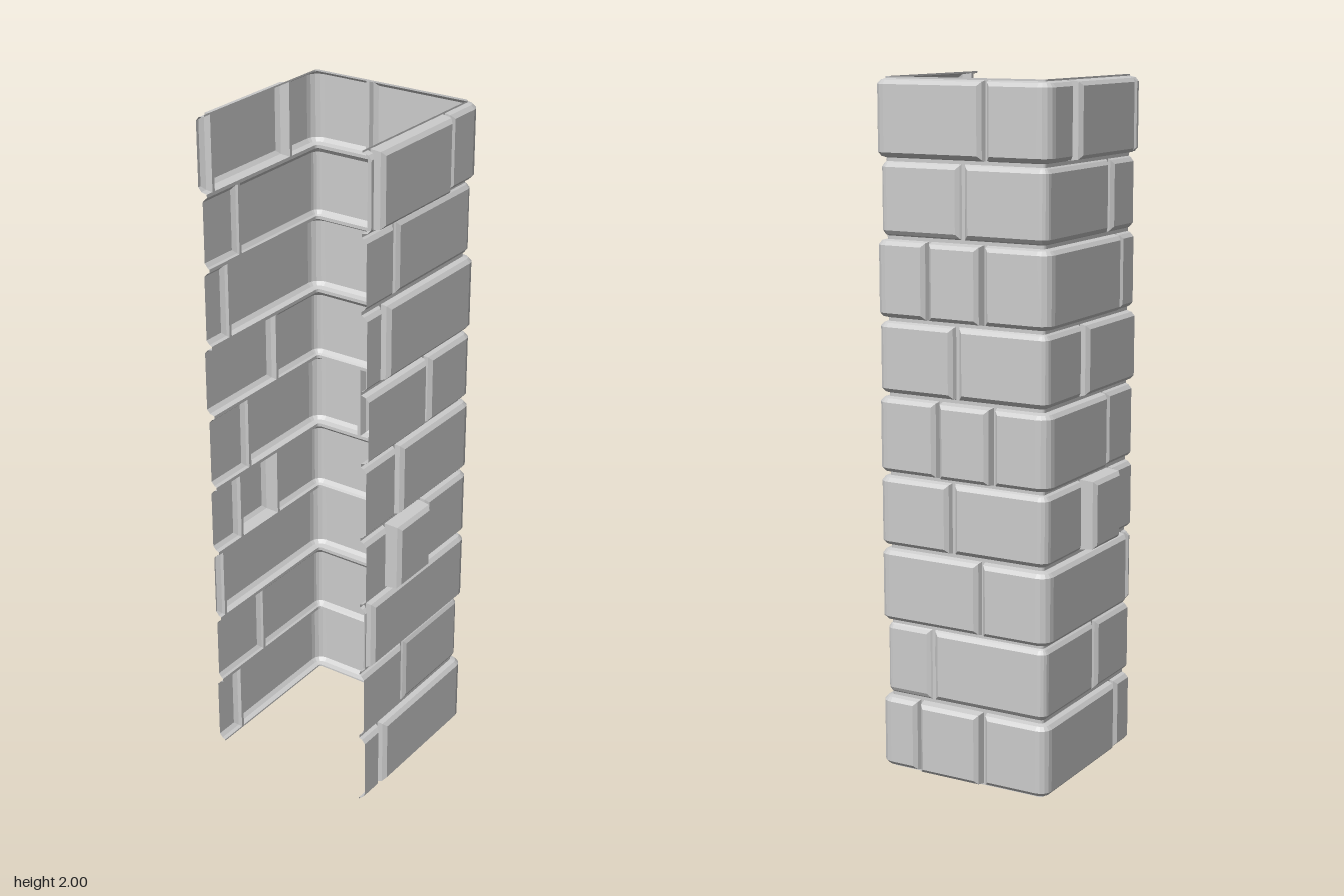
import * as THREE from 'three';

const HALF = 0.25, BACK = -0.235, FRONT = 0.27, R = 0.01; // mortar line of the U-shaped plan
const SIDE = FRONT - BACK - R, ARC = R * Math.PI / 2, REAR = 2 * (HALF - R);
const TOTAL = 2 * SIDE + 2 * ARC + REAR;
const INSET = [0, 0.005, 0.009, 0.02]; // mortar, foot of brick, start of chamfer, face

// Point on the U-shaped plan at arc length u, pushed outward by d
function planPoint(u, d, y) {
  if (u > TOTAL / 2) {
    const p = planPoint(TOTAL - u, d, y);
    p[0] = -p[0];
    return p;
  }
  if (u <= SIDE) return [HALF + d, y, FRONT - u];
  if (u < SIDE + ARC) {
    const a = (u - SIDE) / R;
    return [HALF - R + Math.cos(a) * (R + d), y, BACK + R - Math.sin(a) * (R + d)];
  }
  return [HALF - R - (u - SIDE - ARC), y, BACK - d];
}

// Sample positions with their bevel level; open ends have no bevel
function samples(a, b, openA, openB, extra = []) {
  const s = openA ? [[a, 3]] : INSET.map((t, i) => [a + t, i]);
  extra.forEach(t => { if (t > a + 0.02 && t < b - 0.02) s.push([t, 3]); });
  const end = openB ? [[b, 3]] : INSET.map((t, i) => [b - t, i]).reverse();
  return s.concat(end);
}

const corners = [];
for (let i = 0; i <= 4; i++) {
  const u = SIDE + ARC * i / 4;
  corners.push(u, TOTAL - u);
}
corners.sort((a, b) => a - b);

// Hollow chamfered brick that follows the plan, bending round corners where needed
function brickGeometry(u0, u1, y0, y1, depth) {
  const us = samples(u0, u1, u0 === 0, u1 === TOTAL, corners);
  const vs = samples(y0, y1, false, false);
  const height = [0, 0, Math.max(depth - 0.01, depth * 0.4), depth];
  const pos = [], index = [], level = [];
  for (const [v, lv] of vs) for (const [u, lu] of us) {
    const l = Math.min(lu, lv);
    level.push(l);
    pos.push(...planPoint(u, height[l], v));
  }
  const n = us.length;
  for (let j = 0; j < vs.length - 1; j++) for (let i = 0; i < n - 1; i++) {
    const a = j * n + i, b = a + 1, c = b + n, d = a + n;
    // Split each quad along the mitre
    if (level[a] !== level[c]) index.push(a, b, c, a, c, d);
    else index.push(a, b, d, b, c, d);
  }
  const g = new THREE.BufferGeometry();
  g.setAttribute('position', new THREE.Float32BufferAttribute(pos, 3));
  g.setIndex(index);
  g.computeVertexNormals();
  return g;
}

// Courses from the bottom: joints on the sides (z, front to back) and on the rear (x, left to right),
// with the depths of the side bricks and of the rear bricks (the outer ones wrap the corners)
const courses = [
  { top: 0.225, z: [0.18], x: [0.145, -0.065], side: [0.02], rear: [0.025, 0.035, 0.025] },
  { top: 0.445, z: [0.06], x: [0.105], side: [0.015], rear: [0.01, 0.014] },
  { top: 0.67, z: [0.245], x: [-0.06], side: [0.018], rear: [0.024, 0.028] },
  { top: 0.885, z: [0.155, -0.025], x: [0.035], side: [0.02, 0.05], rear: [0.024, 0.018] },
  { top: 1.115, z: [0.11], x: [0.075, -0.1], side: [0.018], rear: [0.025, 0.034, 0.028] },
  { top: 1.33, z: [-0.03], x: [0.02], side: [0.025], rear: [0.022, 0.016] },
  { top: 1.56, z: [0.185], x: [0.105, -0.07], side: [0.018], rear: [0.025, 0.034, 0.028] },
  { top: 1.775, z: [0.13], x: [0], side: [0.015], rear: [0.013, 0.014] },
  { top: 2, z: [0.24, -0.11], x: [-0.075], side: [0.028, 0.039], rear: [0.024, 0.027] },
];

export function createModel() {
  const model = new THREE.Group();
  model.name = 'brickPillarShell';
  const material = new THREE.MeshStandardMaterial({
    color: 0xcccccc, flatShading: true, side: THREE.DoubleSide,
  });
  let y = 0;
  courses.forEach((c, row) => {
    const course = new THREE.Group();
    course.name = `brickCourse${row + 1}`;
    const sideJoints = c.z.map(z => FRONT - z);
    const rearJoints = c.x.map(x => SIDE + ARC + HALF - R - x);
    const joints = [0, ...sideJoints, ...rearJoints,
      ...sideJoints.map(u => TOTAL - u).reverse(), TOTAL];
    const depths = [...c.side, ...c.rear, ...[...c.side].reverse()];
    depths.forEach((d, i) => {
      const brick = new THREE.Mesh(brickGeometry(joints[i], joints[i + 1], y, c.top, d), material);
      brick.name = `brick${i + 1}`;
      course.add(brick);
    });
    model.add(course);
    y = c.top;
  });
  return model;
}
